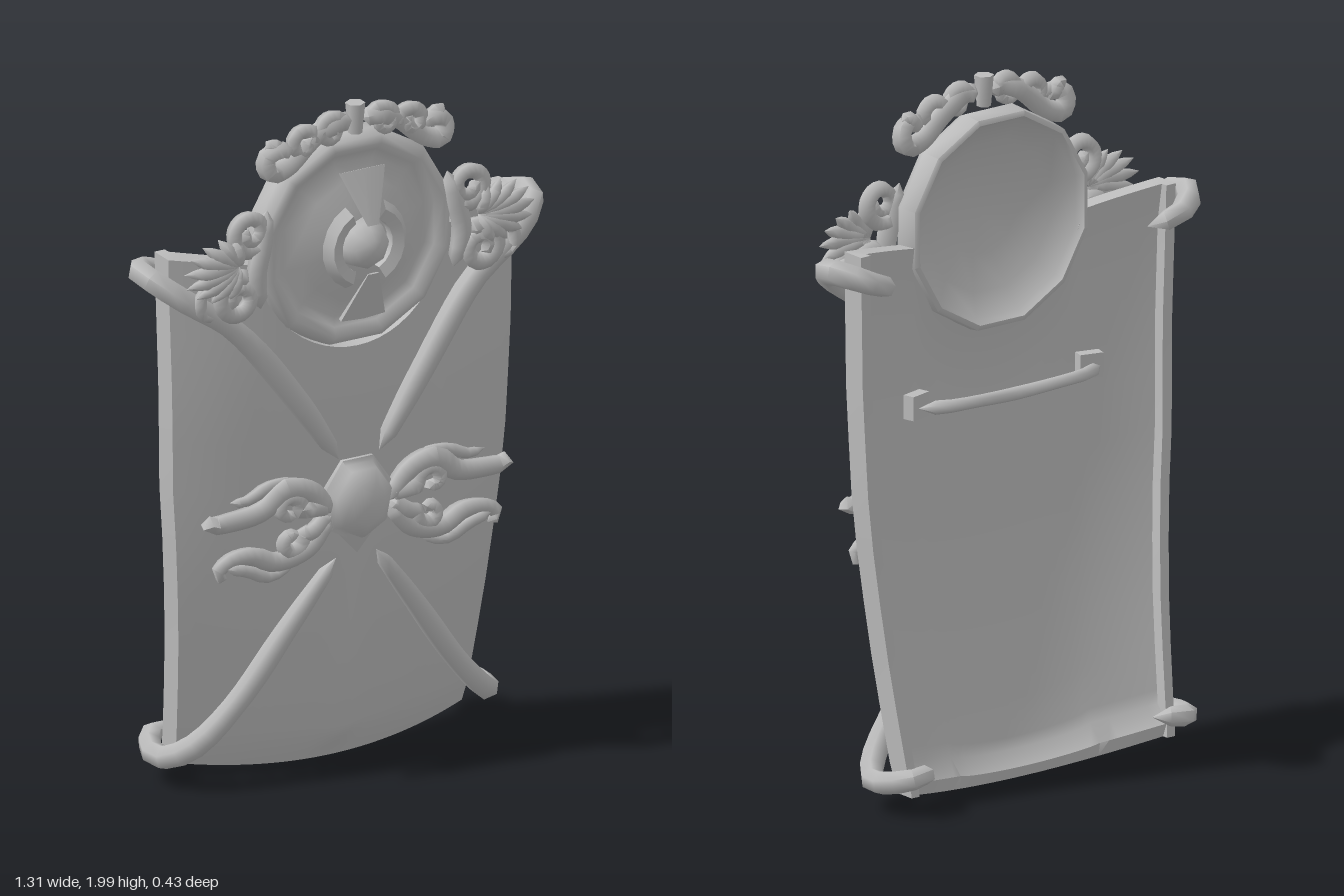
import * as THREE from 'three';
import { toCreasedNormals } from 'three/addons/utils/BufferGeometryUtils.js';

const steel = new THREE.MeshStandardMaterial({ color: 0xbcbcbc });
steel.name = 'steel grey';

// Linear lookup in a short table of [key, value] pairs, keys ascending
function lookup(table, k) {
  if (k <= table[0][0]) return table[0][1];
  for (let i = 1; i < table.length; i++) {
    const [k0, v0] = table[i - 1], [k1, v1] = table[i];
    if (k <= k1) return v0 + ((v1 - v0) * (k - k0)) / (k1 - k0);
  }
  return table[table.length - 1][1];
}

const halfWidth = (y) => lookup([[0, 0.46], [0.5, 0.5], [0.9, 0.535], [1.2, 0.545], [1.6, 0.555]], y);
const centreZ = (y) => lookup([[0, -0.04], [0.06, -0.01], [0.13, 0.012], [0.4, 0.06], [0.7, 0.095], [1.2, 0.115], [1.6, 0.11]], y);
const sheetZ = (x, y) => centreZ(y) - 0.09 * (x / halfWidth(y)) ** 2;
// Low keel rising down the middle of the lower front
const keel = (x, y) => (y < 0.65 && y > 0.05 ? 0.02 * Math.max(0, 1 - Math.abs(x) / 0.07) * Math.min(1, (0.65 - y) * 3) : 0);

function add(group, name, geometry, crease = 1.2) {
  const mesh = new THREE.Mesh(toCreasedNormals(geometry, crease), steel);
  mesh.name = name;
  group.add(mesh);
  return mesh;
}

// Tube with a radius that changes along its length and closed ends
function taperedTube(pts, radii, segments, sides = 6) {
  const curve = new THREE.CatmullRomCurve3(pts.map((p) => new THREE.Vector3(...p)), false, 'centripetal');
  const g = new THREE.TubeGeometry(curve, segments, 1, sides);
  const pos = g.attributes.position, v = new THREE.Vector3();
  for (let i = 0; i <= segments; i++) {
    const c = curve.getPointAt(i / segments);
    const f = (i / segments) * (radii.length - 1), k = Math.min(Math.floor(f), radii.length - 2);
    const cap = i === 0 || i === segments;
    const r = cap ? 0.0005 : radii[k] + (radii[k + 1] - radii[k]) * (f - k);
    for (let j = 0; j <= sides; j++) {
      const n = i * (sides + 1) + j;
      v.fromBufferAttribute(pos, n).sub(c).multiplyScalar(r).add(c);
      pos.setXYZ(n, v.x, v.y, v.z);
    }
  }
  return g;
}

// Points of a flat spiral winding inwards
function spiral(cx, cy, z, r, start, turns, count = 9) {
  return Array.from({ length: count }, (_, i) => {
    const t = i / (count - 1), a = start + turns * Math.PI * 2 * t, q = r * (1 - 0.75 * t);
    return [cx + q * Math.cos(a), cy + q * Math.sin(a), z + 0.01 * t];
  });
}

const mirror = (pts, s) => pts.map(([x, y, z]) => [x * s, y, z]);

// Curved plate with rear flanges, a thick foot and a round notch at the top
function shieldPlate() {
  const n = 32, positions = [], index = [];
  const rows = [0, 0.025, 0.055, 0.08, 0.16, 0.25, 0.35, 0.45, 0.55, 0.65, 0.75, 0.85, 0.93, 1];
  const m = (n + 3) * 2;
  for (const t of rows) {
    const front = [], back = [];
    for (let i = 0; i <= n; i++) {
      const u = (i / n) * 2 - 1, xt = Math.abs(u) * 0.555;
      const top = xt < 0.31 ? 1.59 - Math.sqrt(0.31 ** 2 - xt * xt) : 1.57 + (xt - 0.31) * 0.18;
      const bottom = 0.008 + 0.045 * u * u;
      const y = bottom + t * (top - bottom), x = u * halfWidth(y), z = sheetZ(x, y);
      front.push([x, y, z + keel(x, y)]);
      back.push([x * 0.94, y, z - lookup([[0, 0.045], [0.025, 0.07], [0.055, 0.04], [0.93, 0.04], [1, 0.055]], t)]);
    }
    const flange = (p, k) => [p[0] * k, p[1], p[2] - lookup([[0, 0.05], [0.1, 0.075], [1.6, 0.075]], p[1])];
    const loop = [flange(front[0], 1), ...front, flange(front[n], 1),
      flange(front[n], 0.94), ...back.reverse(), flange(front[0], 0.94)];
    loop.forEach((p) => positions.push(...p));
  }
  for (let j = 0; j < rows.length - 1; j++) {
    for (let i = 0; i < m; i++) {
      const a = j * m + i, b = j * m + ((i + 1) % m);
      index.push(a, b, b + m, a, b + m, a + m);
    }
  }
  const last = (rows.length - 1) * m;
  for (let i = 0; i < m / 2 - 1; i++) {
    const a = i, d = i + 1, pa = m - 1 - i, pd = m - 2 - i;
    index.push(a, pa, pd, a, pd, d);
    index.push(last + a, last + pd, last + pa, last + a, last + d, last + pd);
  }
  const g = new THREE.BufferGeometry();
  g.setAttribute('position', new THREE.Float32BufferAttribute(positions, 3));
  g.setIndex(index);
  return g;
}

function medallion() {
  const g = new THREE.Group();
  g.name = 'medallion';
  g.position.y = 1.595;
  // Hollow-backed dish with a rounded raised rim
  const profile = [[0, 0.115], [0.12, 0.108], [0.22, 0.075], [0.285, 0.04], [0.3, 0.018], [0.315, 0.022],
    [0.322, 0.08], [0.308, 0.11], [0.285, 0.12], [0.262, 0.1], [0.235, 0.09], [0.18, 0.105], [0.1, 0.135], [0, 0.142]];
  const dish = new THREE.LatheGeometry(profile.map((p) => new THREE.Vector2(...p)), 12).rotateX(Math.PI / 2).rotateZ(Math.PI / 12);
  add(g, 'dish', dish);
  const knob = new THREE.SphereGeometry(0.075, 8, 4, 0, Math.PI * 2, 0, Math.PI / 2);
  add(g, 'centreKnob', knob.rotateX(Math.PI / 2).translate(0, 0, 0.138));
  for (const s of [-1, 1]) {
    // Side crescents
    const arc = new THREE.TorusGeometry(0.105, 0.03, 5, 7, 2.2);
    arc.rotateZ(-1.1 + (s < 0 ? Math.PI : 0)).translate(0, 0, 0.15);
    add(g, 'crescent', arc);
    // Flared blades above and below the knob, leaning back at their wide ends
    const blade = new THREE.CylinderGeometry(0.082, 0.02, 0.16, 6).scale(1, 1, 0.15).rotateX(-0.4);
    if (s < 0) blade.rotateZ(Math.PI);
    add(g, 'flaredBlade', blade.translate(0, s * 0.145, 0.168), 0.7);
  }
  return g;
}

// Claw arms running from the boss and hooking round the corners
function clawArms(group, s) {
  const upper = [[0.065, 0.955, 0.12], [0.2, 1.16, 0.115], [0.38, 1.39, 0.095], [0.54, 1.51, 0.075],
    [0.61, 1.565, 0.03], [0.615, 1.575, -0.04], [0.53, 1.54, -0.1], [0.45, 1.51, -0.06]];
  const lower = [[0.065, 0.655, 0.105], [0.2, 0.47, 0.078], [0.35, 0.26, 0.045], [0.46, 0.14, 0.005],
    [0.52, 0.095, -0.06], [0.525, 0.1, -0.13], [0.465, 0.12, -0.2], [0.39, 0.12, -0.16]];
  add(group, 'upperClawArm', taperedTube(mirror(upper, s), [0.02, 0.034, 0.037, 0.034, 0.038, 0.036, 0.028], 20));
  add(group, 'lowerClawArm', taperedTube(mirror(lower, s), [0.018, 0.028, 0.033, 0.032, 0.036, 0.034, 0.026], 20));
}

// Scrollwork for one side; each entry is a path and its radii
function scrollwork(group, s) {
  const scroll = (name, pts, radii, seg = 20) => add(group, name, taperedTube(mirror(pts, s), radii, seg, 5), 1.3);
  // Beside the boss
  scroll('upperScroll', [[0.09, 0.8, 0.12], [0.16, 0.88, 0.12], [0.24, 0.9, 0.12], [0.31, 0.85, 0.115], [0.4, 0.835, 0.11], [0.475, 0.84, 0.11], [0.475, 0.865, 0.11]], [0.024, 0.032, 0.036, 0.032, 0.03, 0.026]);
  scroll('lowerScroll', [[0.09, 0.79, 0.12], [0.17, 0.71, 0.12], [0.27, 0.69, 0.115], [0.34, 0.72, 0.11], [0.42, 0.715, 0.11], [0.45, 0.685, 0.11], [0.42, 0.665, 0.11]], [0.022, 0.03, 0.03, 0.03, 0.024, 0.018]);
  scroll('upperCurl', [[0.1, 0.82, 0.12], [0.17, 0.83, 0.13], ...spiral(0.23, 0.84, 0.12, 0.045, 3.4, -1)], [0.024, 0.026, 0.018], 24);
  scroll('lowerCurl', [[0.1, 0.8, 0.12], [0.16, 0.76, 0.13], ...spiral(0.22, 0.745, 0.12, 0.042, 2.9, 1)], [0.024, 0.026, 0.018], 24);
  scroll('tendril', [[0.2, 0.67, 0.11], [0.28, 0.645, 0.11], [0.36, 0.68, 0.115], [0.43, 0.7, 0.12]], [0.01, 0.02, 0.016], 8);
  scroll('tendril', [[0.2, 0.92, 0.11], [0.28, 0.915, 0.11], [0.36, 0.885, 0.11], [0.41, 0.89, 0.11]], [0.012, 0.02, 0.012], 8);
  // Rosettes above and below the palmette
  scroll('upperRosette', spiral(0.35, 1.69, 0.115, 0.06, -2.2, 1.5, 13), [0.026, 0.024, 0.018], 24);
  scroll('lowerRosette', spiral(0.39, 1.5, 0.115, 0.065, 2.2, -1.6, 13), [0.03, 0.026, 0.018], 24);
  scroll('lowerTendril', [[0.45, 1.55, 0.11], [0.5, 1.53, 0.11], [0.5, 1.47, 0.11], [0.45, 1.45, 0.11]], [0.014, 0.02, 0.012], 8);
  scroll('rosetteStem', [[0.29, 1.74, 0.11], [0.31, 1.65, 0.12], [0.33, 1.56, 0.12], [0.31, 1.45, 0.11]], [0.02, 0.03, 0.03, 0.02], 10);
  // Palmette fan
  for (let i = 0; i < 9; i++) {
    const a = -1.25 + i * 0.33, len = 0.11 + 0.07 * Math.cos(a);
    const leaf = [0, 0.5, 1].map((t) => [0.385 + t * len * Math.cos(a), 1.595 + t * len * Math.sin(a) * 0.75, 0.12 + 0.015 * Math.sin(t * 3)]);
    scroll('palmetteLeaf', leaf, [0.01, 0.02, 0.02, 0.006], 6);
  }
  // Crest over the medallion
  scroll('crestScroll', [[0.02, 1.95, 0.1], [0.07, 1.955, 0.11], [0.12, 1.935, 0.1], [0.16, 1.905, 0.1], [0.22, 1.855, 0.1], [0.275, 1.845, 0.1], [0.285, 1.89, 0.1], [0.25, 1.91, 0.11], [0.21, 1.895, 0.11]], [0.026, 0.032, 0.03, 0.03, 0.032, 0.028, 0.022], 26);
  scroll('crestCurl', spiral(0.085, 1.935, 0.105, 0.045, 3, -1.2), [0.024, 0.022, 0.016], 16);
  scroll('crestCurl', spiral(0.175, 1.915, 0.105, 0.045, 3.4, -1.3), [0.024, 0.022, 0.016], 16);
  scroll('crestTip', [[0.23, 1.88, 0.1], [0.265, 1.925, 0.1], [0.29, 1.92, 0.1]], [0.02, 0.024, 0.016], 6);
}

// Grip on the back with square end plates
function grip() {
  const g = new THREE.Group();
  g.name = 'grip';
  const bar = [[-0.32, 1.12, -0.015], [-0.24, 1.12, -0.05], [-0.16, 1.12, -0.06], [0, 1.11, -0.045], [0.16, 1.12, -0.06], [0.24, 1.12, -0.05], [0.32, 1.12, -0.015]];
  add(g, 'gripBar', taperedTube(bar, [0.022, 0.018, 0.02, 0.018, 0.022], 14));
  for (const s of [-1, 1]) {
    add(g, 'gripPlate', new THREE.BoxGeometry(0.07, 0.07, 0.035).rotateY(s * 0.25).translate(s * 0.305, 1.12, 0.015));
  }
  return g;
}

export function createModel() {
  const model = new THREE.Group();
  model.name = 'towerShield';
  add(model, 'shieldPlate', shieldPlate(), 0.9);
  model.add(medallion());

  // Rounded boss on a pointed backing
  const boss = new THREE.Group();
  boss.name = 'boss';
  const profile = [[0.122, -0.03], [0.122, 0.01], [0.108, 0.015], [0.098, 0.045], [0.06, 0.07], [0, 0.078]].map((p) => new THREE.Vector2(...p));
  const dome = new THREE.LatheGeometry(profile, 7).rotateX(Math.PI / 2).scale(0.93, 1.08, 1);
  add(boss, 'bossDome', dome.translate(0, 0.825, 0.105));
  add(boss, 'bossPoint', new THREE.ConeGeometry(0.09, 0.1, 4).scale(1, 1, 0.4).rotateZ(Math.PI).translate(0, 0.71, 0.11), 0.7);
  model.add(boss);

  for (const s of [-1, 1]) {
    const side = new THREE.Group();
    side.name = s > 0 ? 'leftOrnament' : 'rightOrnament';
    clawArms(side, s);
    scrollwork(side, s);
    model.add(side);
  }
  // Crest keystone
  add(model, 'crestKeystone', new THREE.CylinderGeometry(0.028, 0.02, 0.09, 6).translate(0, 1.955, 0.1));
  model.add(grip());
  return model;
}
